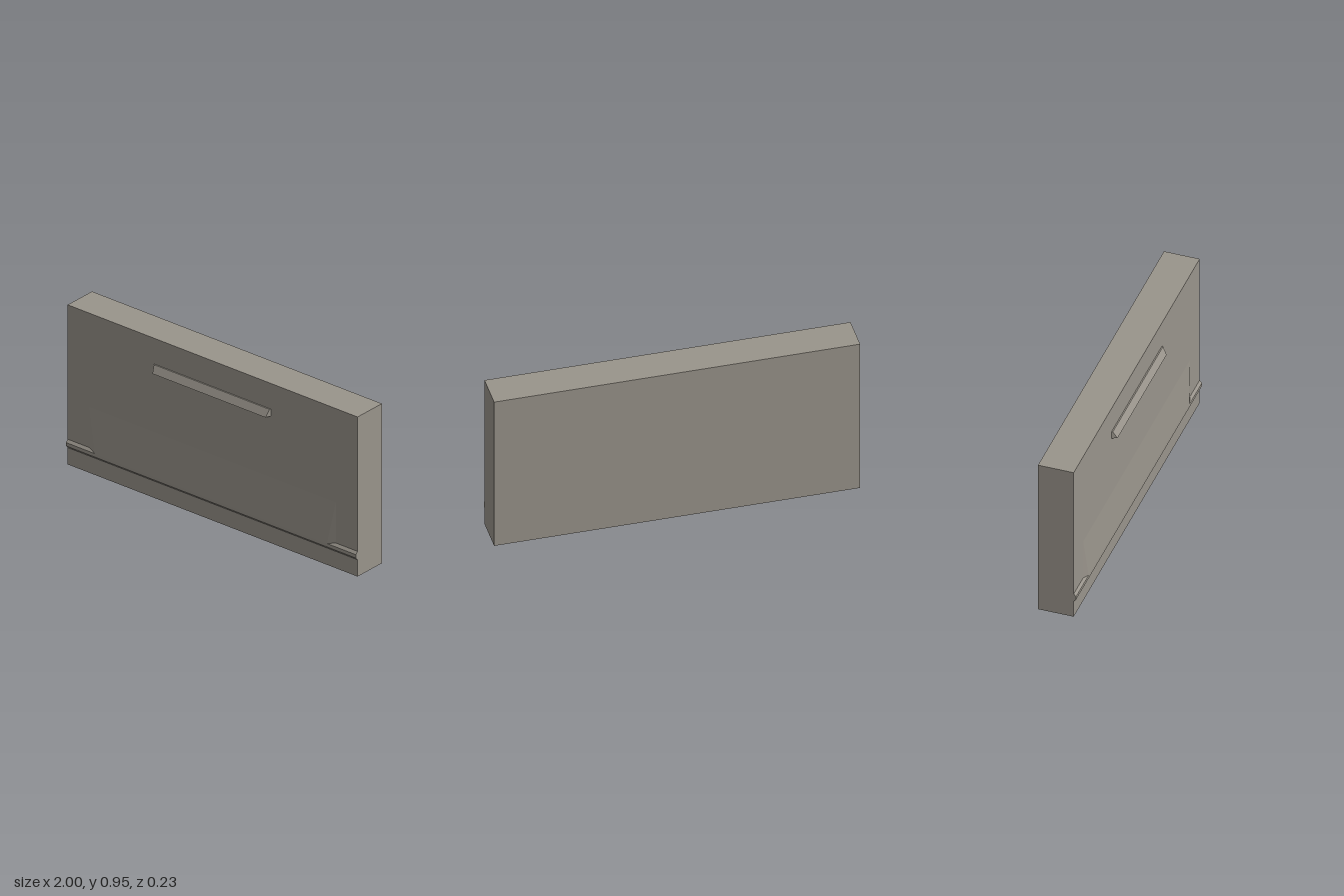
import * as THREE from 'three';

// Bar across x from a profile of [z, y, halfWidth] points,
// listed counterclockwise as seen from +x; ends may taper.
function bar(name, profile, material) {
  const right = profile.map(([z, y, w]) => [w, y, z]);
  const left = profile.map(([z, y, w]) => [-w, y, z]);
  const positions = [];
  const tri = (a, b, c) => positions.push(...a, ...b, ...c);
  const n = profile.length;
  for (let i = 0; i < n; i++) {
    const j = (i + 1) % n;
    tri(right[i], left[i], left[j]);
    tri(right[i], left[j], right[j]);
  }
  for (let i = 1; i < n - 1; i++) {
    tri(right[0], right[i], right[i + 1]);
    tri(left[0], left[i + 1], left[i]);
  }
  const geometry = new THREE.BufferGeometry();
  geometry.setAttribute('position', new THREE.Float32BufferAttribute(positions, 3));
  geometry.computeVertexNormals();
  const mesh = new THREE.Mesh(geometry, material);
  mesh.name = name;
  return mesh;
}

export function createModel() {
  const group = new THREE.Group();
  group.name = 'wallPanel';
  const grey = new THREE.MeshStandardMaterial({ color: 0x99948b });
  grey.name = 'warm grey';

  const face = 0.085; // front plane of the slab

  // Main slab
  const slab = new THREE.Mesh(new THREE.BoxGeometry(2, 0.95, 0.2), grey);
  slab.name = 'slab';
  slab.position.set(0, 0.475, face - 0.1);
  group.add(slab);

  // Full-width bevelled ledge near the bottom
  group.add(bar('ledge', [
    [0.098, 0.115, 1], [face, 0.1, 1], [face, 0.15, 1], [0.098, 0.135, 1],
  ], grey));

  // Shallow ramp with flared sides, rising from the ledge
  group.add(bar('ramp', [
    [0.098, 0.135, 0.8], [face, 0.15, 0.85], [face, 0.39, 0.85], [face, 0.39, 0.8],
  ], grey));

  // Wedge-shaped hood with slightly tapered ends
  group.add(bar('hood', [
    [0.115, 0.755, 0.39], [face, 0.755, 0.402], [face, 0.797, 0.402], [0.092, 0.797, 0.399],
  ], grey));

  return group;
}
